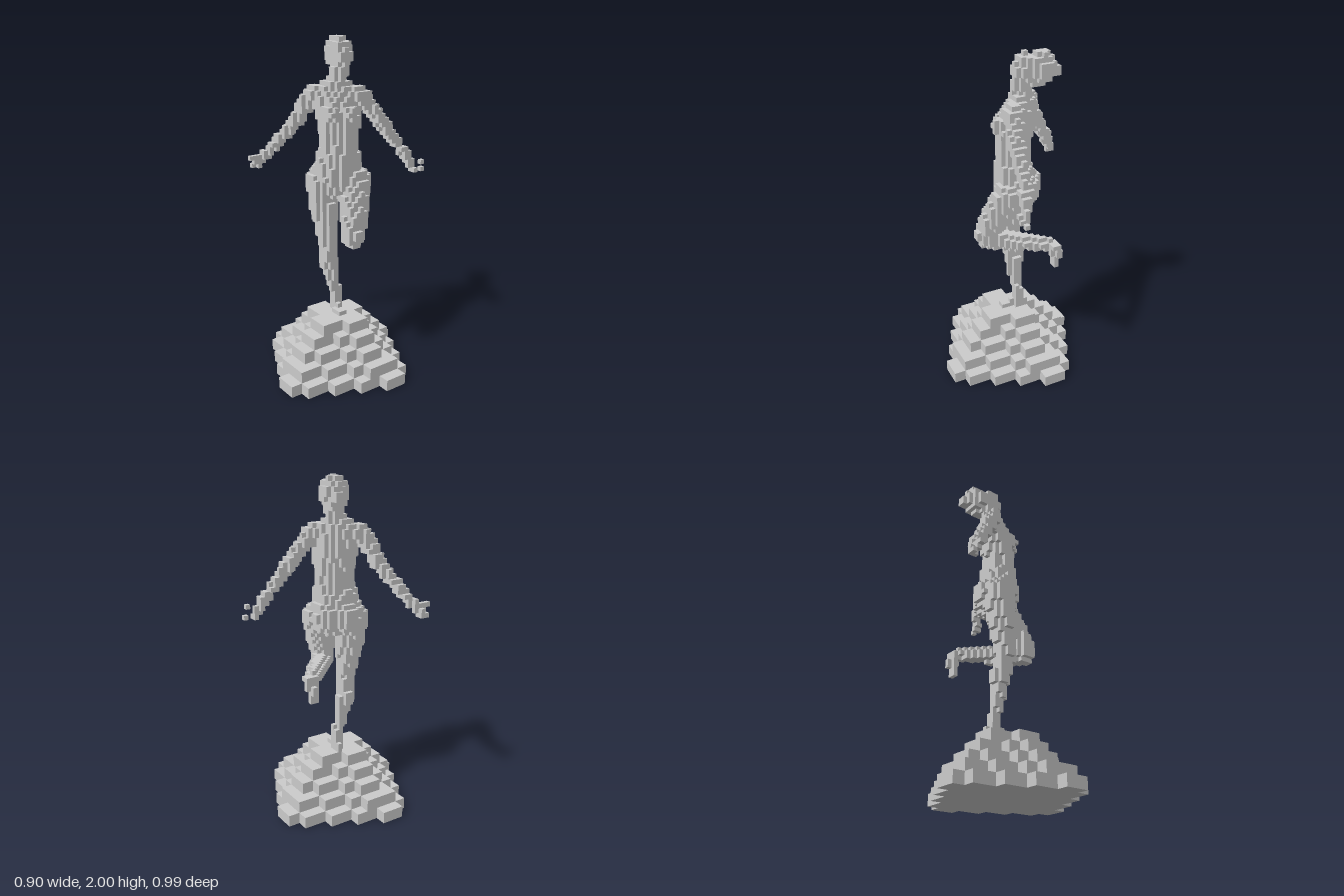
import * as THREE from 'three';

const V = (x, y, z) => new THREE.Vector3(x, y, z);

// Solid tests: each returns a function telling whether a point is inside.
const limb = (...knots) => p => { // tapered chain of [x, y, z, radius]
  for (let i = 0; i + 1 < knots.length; i++) {
    const [ax, ay, az, ra] = knots[i], [bx, by, bz, rb] = knots[i + 1];
    const a = V(ax, ay, az), ab = V(bx, by, bz).sub(a);
    const t = THREE.MathUtils.clamp(p.clone().sub(a).dot(ab) / ab.lengthSq(), 0, 1);
    if (a.addScaledVector(ab, t).distanceTo(p) <= ra + (rb - ra) * t) return true;
  }
  return false;
};
// Ellipsoid with radii [forward, up, sideways], turned by yaw degrees
const blob = (x, y, z, [f, u, s], yaw = 30) => p => {
  const c = Math.cos(yaw * Math.PI / 180), n = Math.sin(yaw * Math.PI / 180);
  const dx = p.x - x, dz = p.z - z;
  return ((dx * c + dz * n) / f) ** 2 + ((p.y - y) / u) ** 2 + ((dx * n - dz * c) / s) ** 2 <= 1;
};
// Stack of turned ellipses [y, x, z, forward radius, side radius, yaw]
const stack = rows => p => {
  for (let i = 0; i + 1 < rows.length; i++) {
    const a = rows[i], b = rows[i + 1];
    if (p.y < a[0] || p.y > b[0]) continue;
    const t = (p.y - a[0]) / (b[0] - a[0]);
    const [y, x, z, f, s, yaw] = a.map((v, k) => v + (b[k] - v) * t);
    return blob(x, y, z, [f, 1, s], yaw)(p);
  }
  return false;
};

// The six cube faces: outward direction and corners, counter-clockwise from outside
const FACES = [0, 1, 2].flatMap(axis => [-1, 1].map(sign => {
  const u = (axis + 1) % 3, w = (axis + 2) % 3;
  const ring = [[0, 0], [1, 0], [1, 1], [0, 1]];
  if (sign < 0) ring.reverse();
  const dir = [0, 0, 0];
  dir[axis] = sign;
  return { dir, corners: ring.map(([a, b]) => {
    const c = [0, 0, 0];
    c[axis] = sign > 0 ? 1 : 0; c[u] = a; c[w] = b;
    return c;
  }) };
}));

// Turns named cells into blocky meshes, drawing only exposed faces
function buildBlocks(owner, names, origin, size, material) {
  const group = new THREE.Group();
  const data = Object.fromEntries(names.map(n => [n, { pos: [], nor: [] }]));
  for (const [key, name] of owner) {
    const cell = key.split(',').map(Number);
    for (const { dir, corners } of FACES) {
      if (owner.has(cell.map((v, k) => v + dir[k]).join())) continue;
      for (const i of [0, 1, 2, 0, 2, 3]) {
        data[name].pos.push(...cell.map((v, k) => origin[k] + (v + corners[i][k]) * size));
        data[name].nor.push(...dir);
      }
    }
  }
  for (const name of names) {
    const g = new THREE.BufferGeometry();
    g.setAttribute('position', new THREE.Float32BufferAttribute(data[name].pos, 3));
    g.setAttribute('normal', new THREE.Float32BufferAttribute(data[name].nor, 3));
    const mesh = new THREE.Mesh(g, material);
    mesh.name = name;
    group.add(mesh);
  }
  return group;
}

export function createModel() {
  const model = new THREE.Group();
  model.name = 'statue';
  const material = new THREE.MeshStandardMaterial({ color: 0xcccccc });

  // Stepped plinth: shrinking squares turned by 30 degrees on a coarse grid
  const B = 0.0693, steps = new Map();
  [5.15, 4.4, 3.5, 2.7, 1.95].forEach((d, layer) => {
    for (let i = -6; i <= 6; i++) for (let k = -6; k <= 6; k++) {
      const m = Math.max(Math.abs(0.866 * i + 0.5 * k), Math.abs(0.866 * k - 0.5 * i));
      if (m <= d) steps.set([i, layer, k].join(), 'plinth');
    }
  });
  const base = buildBlocks(steps, ['plinth'], [-B / 2, 0, 0.0077], B, material);
  base.name = 'base';

  // Figure: balanced on the right leg, left shin folded back, arms spread
  const parts = {
    head: [
      blob(-0.075, 1.895, -0.042, [0.078, 0.095, 0.06]),
      limb([-0.05, 1.83, -0.02, 0.046], [-0.065, 1.73, 0, 0.052]),
    ],
    hair: [
      blob(-0.135, 1.912, -0.072, [0.08, 0.09, 0.074]),
      limb([-0.19, 1.9, -0.1, 0.038], [-0.212, 1.9, -0.1, 0.03]),
    ],
    torso: [
      stack([
        [1.08, -0.03, 0.02, 0.08, 0.1, 30], [1.2, -0.03, 0.015, 0.115, 0.145, 30],
        [1.28, -0.025, 0.015, 0.11, 0.135, 32], [1.41, -0.015, 0.01, 0.085, 0.1, 35],
        [1.56, -0.03, 0.005, 0.095, 0.12, 42], [1.68, -0.055, 0.005, 0.08, 0.14, 46],
        [1.75, -0.065, 0, 0.055, 0.085, 46], [1.78, -0.065, -0.005, 0.04, 0.05, 46],
      ]),
      limb([-0.14, 1.68, 0.09, 0.056], [0.025, 1.68, -0.085, 0.056]),
      blob(-0.005, 1.585, 0.07, [0.06, 0.06, 0.055], 42),
      blob(0.045, 1.585, -0.005, [0.06, 0.06, 0.055], 42),
      blob(-0.115, 1.2, 0.02, [0.075, 0.085, 0.075]),
      blob(-0.055, 1.2, -0.07, [0.075, 0.085, 0.075]),
    ],
    rightArm: [
      limb([-0.155, 1.675, 0.105, 0.05], [-0.195, 1.6, 0.13, 0.041], [-0.26, 1.49, 0.172, 0.036],
        [-0.33, 1.4, 0.22, 0.032], [-0.39, 1.31, 0.28, 0.025], [-0.43, 1.25, 0.325, 0.024]),
      limb([-0.412, 1.27, 0.34, 0.02], [-0.412, 1.293, 0.37, 0.017]),
    ],
    leftArm: [
      limb([0.035, 1.675, -0.105, 0.05], [0.06, 1.59, -0.17, 0.041], [0.075, 1.49, -0.25, 0.036],
        [0.085, 1.4, -0.32, 0.03], [0.11, 1.29, -0.405, 0.025], [0.13, 1.22, -0.43, 0.022]),
      blob(0.1748, 1.267, -0.457, [0.015, 0.015, 0.015]),
      blob(0.1482, 1.213, -0.484, [0.015, 0.015, 0.015]),
    ],
    rightLeg: [
      limb([-0.085, 1.18, 0.085, 0.088], [-0.05, 1, 0.09, 0.075], [-0.025, 0.8, 0.083, 0.048],
        [-0.053, 0.69, 0.07, 0.047], [-0.045, 0.56, 0.037, 0.035], [-0.05, 0.44, 0.012, 0.026],
        [-0.052, 0.375, 0.01, 0.03]),
      limb([-0.078, 0.375, -0.005, 0.024], [0.025, 0.36, 0.04, 0.024]),
    ],
    leftLeg: [
      limb([0.035, 1.18, -0.06, 0.092], [0.1, 1.04, -0.01, 0.078], [0.15, 0.905, 0.035, 0.06],
        [0.145, 0.88, 0.035, 0.055], [0.02, 0.88, -0.085, 0.048], [-0.15, 0.89, -0.225, 0.03]),
      limb([-0.16, 0.885, -0.24, 0.035], [-0.175, 0.83, -0.245, 0.027], [-0.172, 0.775, -0.232, 0.023]),
    ],
  };

  // Sample the figure on a fine grid; the first part to claim a cell keeps it
  const S = 0.02667, origin = [0.0015, 0.3465, 0.0097], owner = new Map();
  for (let i = -18; i < 10; i++) for (let j = 0; j < 62; j++) for (let k = -20; k < 15; k++) {
    const p = V(...[i, j, k].map((v, a) => origin[a] + (v + 0.5) * S));
    const name = Object.keys(parts).find(n => parts[n].some(inside => inside(p)));
    if (name) owner.set([i, j, k].join(), name);
  }
  const figure = buildBlocks(owner, Object.keys(parts), origin, S, material);
  figure.name = 'figure';

  model.add(base, figure);
  return model;
}
